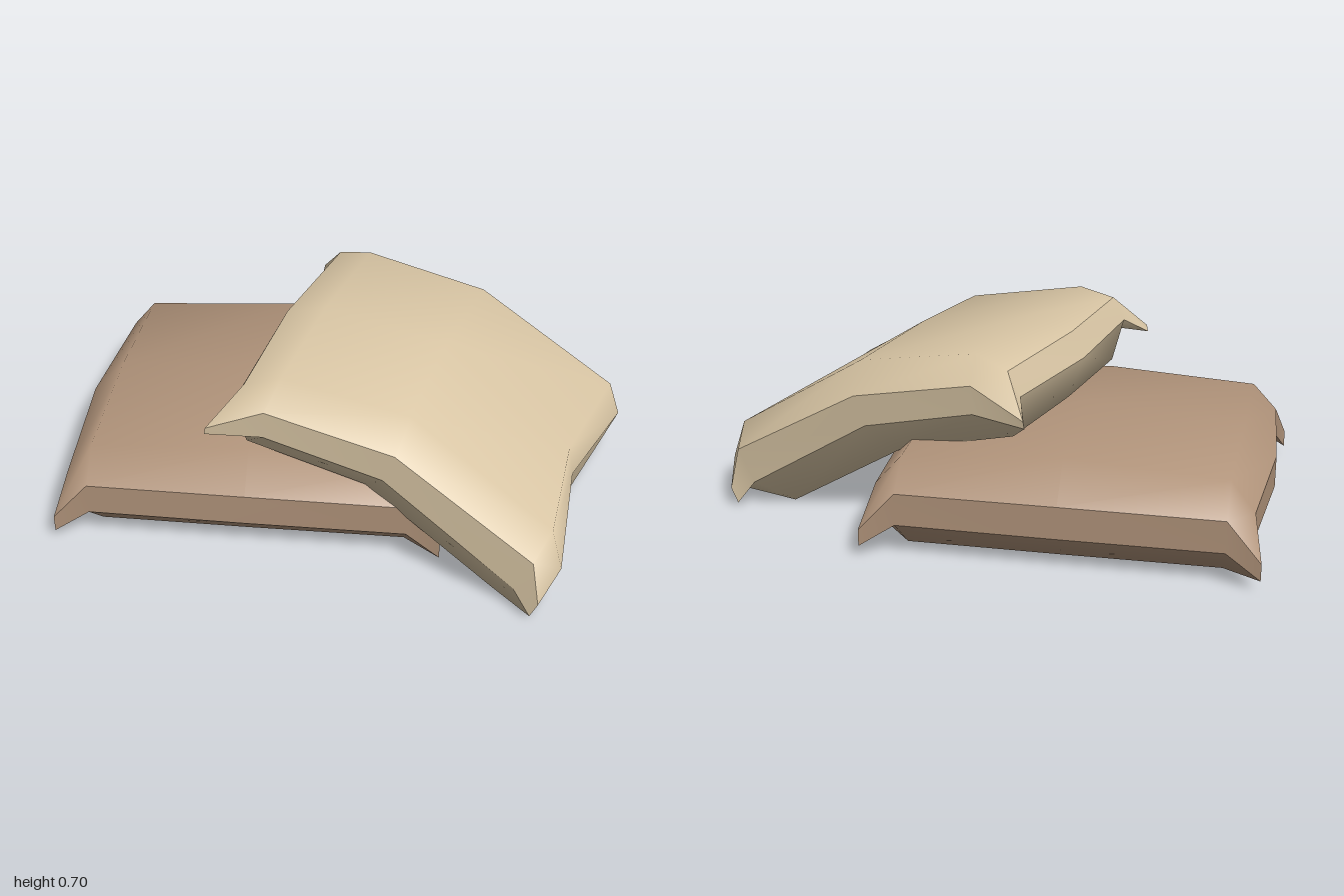
import * as THREE from 'three';

// Smooth surface over a grid of points; its front faces (along a row) x (from row to row)
function patch(rows, material, name) {
  const n = rows[0].length, index = [];
  for (let i = 0; i < rows.length - 1; i++) {
    for (let j = 0; j < n - 1; j++) {
      const a = i * n + j, c = a + n;
      index.push(a, a + 1, c, a + 1, c + 1, c);
    }
  }
  const geometry = new THREE.BufferGeometry();
  geometry.setAttribute('position', new THREE.Float32BufferAttribute(rows.flat(2), 3));
  geometry.setIndex(index);
  geometry.computeVertexNormals();
  const mesh = new THREE.Mesh(geometry, material);
  mesh.name = name;
  return mesh;
}

// Each panel has three [x, y] profiles across the cushion: rim, inner and middle.
// They are repeated on both sides of the middle and sheared in x.
function panel(profiles, { zMid, zHalf, shear }) {
  const steps = [[-1, 0], [-0.82, 1], [0, 2], [0.82, 1], [1, 0]];
  return zMid.map((mid, i) => steps.map(([t, p]) => {
    const [x, y] = profiles[p][i];
    return [x + shear * t, y, mid + zHalf[i] * t];
  }));
}

function cushion(name, color, spec) {
  const material = new THREE.MeshStandardMaterial({ color, roughness: 0.9 });
  const top = panel(spec.top, spec), bottom = panel(spec.bottom, spec);
  const side = (grid, j) => grid.map(row => row[j]);
  const group = new THREE.Group();
  group.name = name;
  group.add(
    patch(top, material, 'topPanel'),
    patch([...bottom].reverse(), material, 'bottomPanel'),
    // Edge band, creased at the corners
    patch([side(bottom, 4), side(top, 4)], material, 'frontBand'),
    patch([side(top, 0), side(bottom, 0)], material, 'backBand'),
    patch([bottom[0], top[0]], material, 'rightBand'),
    patch([top[4], bottom[4]], material, 'leftBand'),
  );
  return group;
}

export function createModel() {
  const model = new THREE.Group();
  model.name = 'cushions';

  // Lower cushion, flat on the ground and slightly turned
  model.add(cushion('lowerCushion', 0xb0937a, {
    shear: 0.075,
    zMid: [0.105, 0.086, 0, -0.086, -0.105],
    zHalf: [0.59, 0.572, 0.575, 0.572, 0.59],
    top: [
      [[-0.925, 0.1], [-0.805, 0.235], [-0.255, 0.237], [0.295, 0.235], [0.415, 0.1]],
      [[-0.89, 0.23], [-0.805, 0.335], [-0.255, 0.37], [0.295, 0.335], [0.38, 0.235]],
      [[-0.925, 0.237], [-0.81, 0.36], [-0.255, 0.397], [0.3, 0.36], [0.415, 0.237]],
    ],
    bottom: [
      [[-0.925, 0.04], [-0.805, 0.12], [-0.255, 0.12], [0.295, 0.12], [0.415, 0.04]],
      [[-0.89, 0.13], [-0.79, 0.015], [-0.255, 0.015], [0.28, 0.015], [0.38, 0.12]],
      [[-0.925, 0.12], [-0.79, 0.015], [-0.255, 0.015], [0.28, 0.015], [0.415, 0.12]],
    ],
  }));

  // Upper cushion, draped over the lower one and down to the ground
  model.add(cushion('upperCushion', 0xd8c5a4, {
    shear: -0.05,
    zMid: [0.015, 0.025, 0.033, 0.09, 0.095],
    zHalf: [0.57, 0.54, 0.523, 0.548, 0.57],
    top: [
      [[-0.255, 0.515], [-0.055, 0.6], [0.39, 0.5], [0.88, 0.22], [0.91, 0.07]],
      [[-0.155, 0.645], [-0.03, 0.68], [0.41, 0.6], [0.915, 0.29], [0.957, 0.155]],
      [[-0.185, 0.65], [-0.04, 0.697], [0.4, 0.62], [0.865, 0.3], [0.885, 0.195]],
    ],
    bottom: [
      [[-0.26, 0.49], [-0.06, 0.5], [0.35, 0.395], [0.82, 0.1], [0.885, 0.015]],
      [[-0.2, 0.56], [-0.16, 0.4], [0.26, 0.29], [0.72, 0.005], [0.91, 0.03]],
      [[-0.23, 0.555], [-0.17, 0.395], [0.27, 0.29], [0.73, 0], [0.84, 0.02]],
    ],
  }));
  return model;
}
